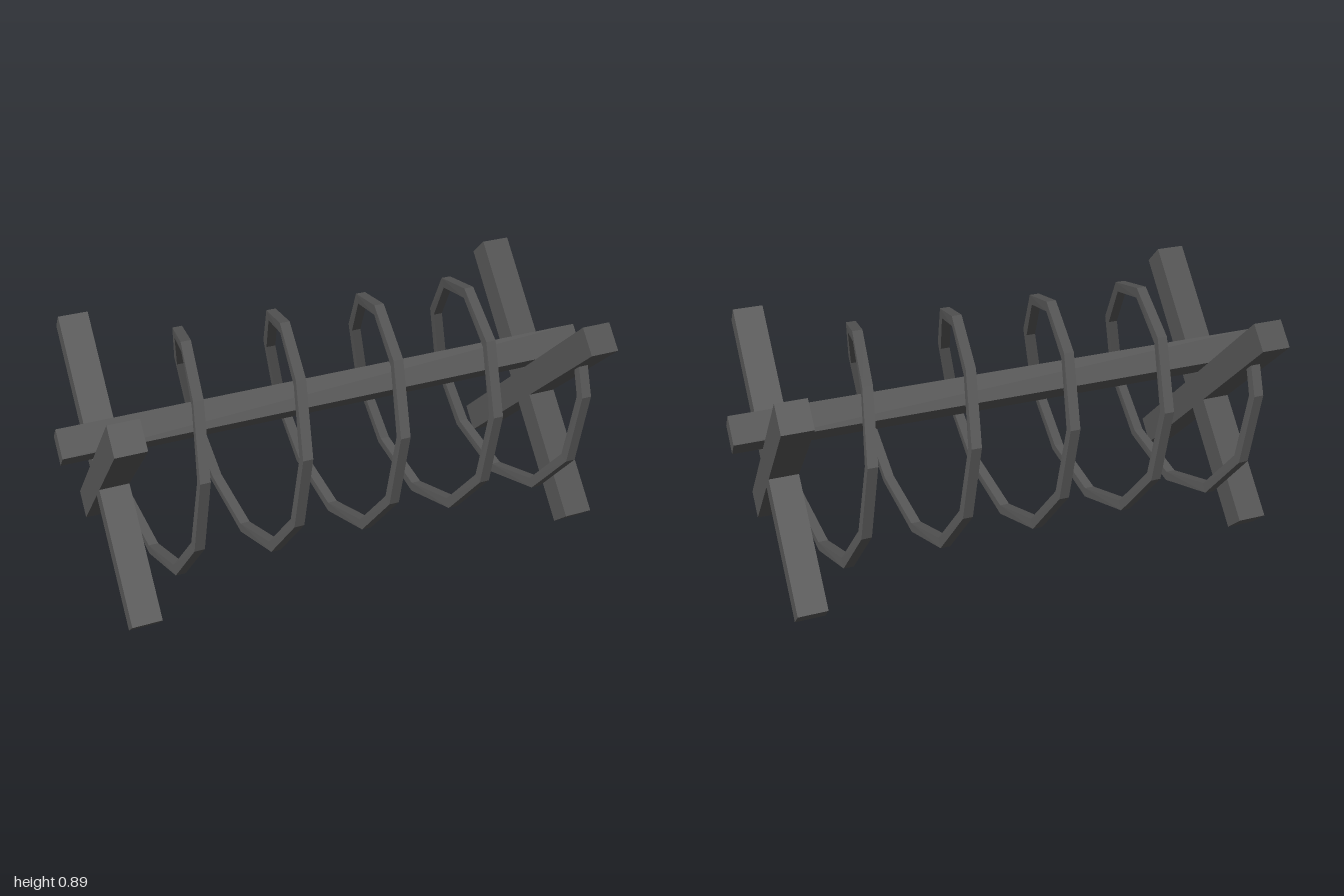
import * as THREE from 'three';

const iron = new THREE.MeshStandardMaterial({ color: 0x555555 });
iron.name = 'dark grey';

// Square wire wound along x, ten straight pieces per turn
function coilGeometry() {
  const radius = 0.412, centreY = 0.4625, pitch = 0.355, first = -9, last = 39;
  const halfRadial = 0.019, halfAxial = 0.018;
  const corners = [[1, 1], [1, -1], [-1, -1], [-1, 1]];
  const ring = (k) => corners.map(([r, a]) => {
    const t = k * Math.PI / 5, d = radius + r * halfRadial;
    return new THREE.Vector3(-0.53 + pitch * k / 10 + a * halfAxial,
      centreY + d * Math.cos(t), -d * Math.sin(t));
  });
  const rings = [];
  for (let k = first; k <= last; k++) rings.push(ring(k));
  // Both ends stop inside the crossed arms
  const n = rings.length - 1;
  rings[0].forEach((p, i) => p.lerp(rings[1][i], 0.35));
  rings[n].forEach((p, i) => p.lerp(rings[n - 1][i], 0.35));

  const points = [];
  for (let k = 0; k < n; k++) {
    for (let i = 0; i < 4; i++) {
      const j = (i + 1) % 4, a = rings[k], b = rings[k + 1];
      points.push(a[i], b[i], a[j], a[j], b[i], b[j]);
    }
  }
  const s = rings[0], e = rings[n];
  points.push(s[0], s[1], s[2], s[0], s[2], s[3], e[0], e[2], e[1], e[0], e[3], e[2]);
  const geometry = new THREE.BufferGeometry().setFromPoints(points);
  geometry.computeVertexNormals();
  return geometry;
}

export function createModel() {
  const model = new THREE.Group();
  model.name = 'wireObstacle';

  // Long beam lying on its edge in the crossed arms
  const side = 0.15 / Math.SQRT2;
  const beam = new THREE.Mesh(new THREE.BoxGeometry(2, side, side), iron);
  beam.name = 'beam';
  beam.position.y = 0.575;
  beam.rotation.x = Math.PI / 4;
  model.add(beam);

  // Crossed arms at both ends
  const armGeometry = new THREE.BoxGeometry(side, 1.123, side);
  for (const [x, name] of [[-0.838, 'rightCross'], [0.843, 'leftCross']]) {
    const cross = new THREE.Group();
    cross.name = name;
    for (const s of [-1, 1]) {
      const arm = new THREE.Mesh(armGeometry, iron);
      arm.name = 'crossArm';
      arm.position.set(x, 0.4345, s * 0.0155);
      arm.rotation.x = s * Math.PI / 4;
      cross.add(arm);
    }
    model.add(cross);
  }

  // Wire coil
  const coil = new THREE.Mesh(coilGeometry(), iron);
  coil.name = 'wireCoil';
  model.add(coil);
  return model;
}
